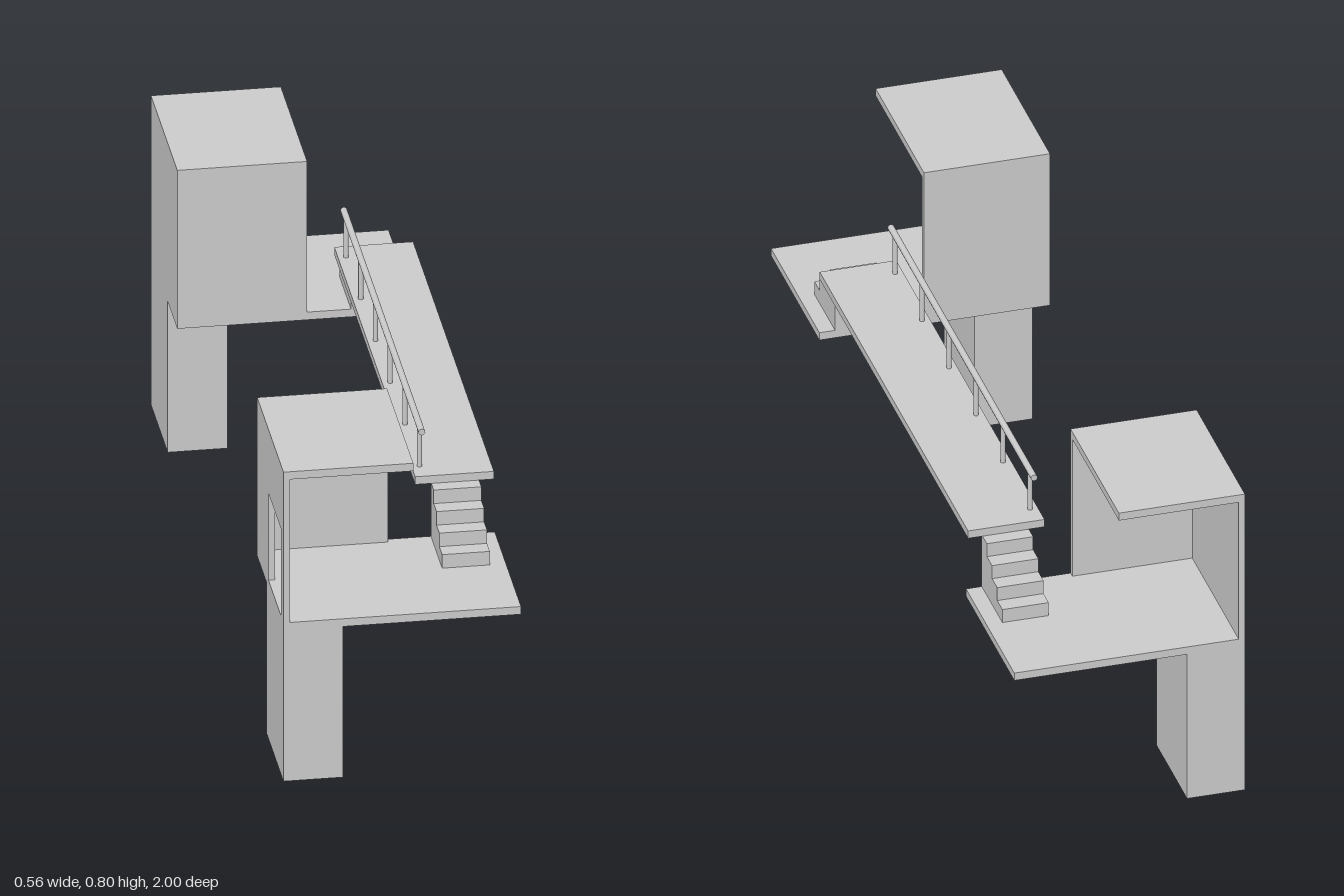
import * as THREE from 'three';

const material = new THREE.MeshStandardMaterial({ color: 0xcccccc });

function add(parent, name, geometry) {
  const mesh = new THREE.Mesh(geometry, material);
  mesh.name = name;
  parent.add(mesh);
  return mesh;
}

// Box given by its minimum and maximum corners
function block(parent, name, [x0, y0, z0], [x1, y1, z1]) {
  const mesh = add(parent, name, new THREE.BoxGeometry(x1 - x0, y1 - y0, z1 - z0));
  mesh.position.set((x0 + x1) / 2, (y0 + y1) / 2, (z0 + z1) / 2);
  return mesh;
}

// Extrudes an outline of (z, y) points along x from x0 to x1
function extrudeAlongX(parent, name, points, x0, x1) {
  const shape = new THREE.Shape(points.map(([z, y]) => new THREE.Vector2(-z, y)));
  const geometry = new THREE.ExtrudeGeometry(shape, { depth: x1 - x0, bevelEnabled: false });
  geometry.rotateY(Math.PI / 2);
  geometry.translate(x0, 0, 0);
  return add(parent, name, geometry);
}

const INNER = 0.603, OUTER = 1, WALL = 0.015;
const FLOOR = 0.41, CEILING = 0.78, DECK = 0.55;
const LEFT = -0.28, CABIN = 0.025;

// One end tower; side is +1 for the front and -1 for the back
function tower(side) {
  const group = new THREE.Group();
  group.name = side > 0 ? 'frontTower' : 'backTower';
  const box = (name, x0, x1, y0, y1, z0, z1) =>
    block(group, name, [x0, y0, Math.min(side * z0, side * z1)], [x1, y1, Math.max(side * z0, side * z1)]);

  box('pillar', LEFT, -0.14, 0, 0.39, 0.747, OUTER);
  box('platform', LEFT, 0.278, 0.39, FLOOR, INNER, OUTER);
  box('roof', LEFT, CABIN, CEILING, 0.8, INNER, OUTER);
  box('innerWall', LEFT, CABIN, FLOOR, CEILING, INNER, INNER + WALL);

  // Only the front tower has an opening, which reaches the floor
  const sideWall = [[INNER + WALL, FLOOR], [INNER + WALL, CEILING], [OUTER, CEILING], [OUTER, FLOOR]];
  if (side > 0) sideWall.push([0.965, FLOOR], [0.965, 0.635], [0.773, 0.635], [0.773, FLOOR]);
  extrudeAlongX(group, 'sideWall', sideWall.map(([z, y]) => [side * z, y]), LEFT, LEFT + WALL);

  // Solid flight of four steps up to the bridge
  const steps = 4, run = 0.0425, rise = (DECK - FLOOR) / steps;
  const outline = [[INNER, FLOOR], [INNER, DECK]];
  for (let i = 1; i <= steps; i++) {
    const z = INNER + i * run;
    outline.push([z, DECK - (i - 1) * rise], [z, DECK - i * rise]);
  }
  extrudeAlongX(group, 'stairs', outline.map(([z, y]) => [side * z, y]), 0.128, 0.24);
  return group;
}

// Walkway with a handrail on one edge
function bridge() {
  const group = new THREE.Group();
  group.name = 'bridge';
  block(group, 'deck', [0.09, DECK, -0.61], [0.275, 0.57, 0.61]);

  const railX = 0.109, railY = 0.674;
  const rail = add(group, 'handrail', new THREE.CylinderGeometry(0.008, 0.008, 1.18, 12));
  rail.rotation.x = Math.PI / 2;
  rail.position.set(railX, railY, 0);

  for (let i = 0; i < 6; i++) {
    const post = add(group, 'railPost', new THREE.CylinderGeometry(0.006, 0.006, railY - 0.57, 10));
    post.position.set(railX, (railY + 0.57) / 2, -0.555 + i * 0.222);
  }
  return group;
}

export function createModel() {
  const model = new THREE.Group();
  model.name = 'footbridge';
  model.add(tower(1), tower(-1), bridge());
  return model;
}
